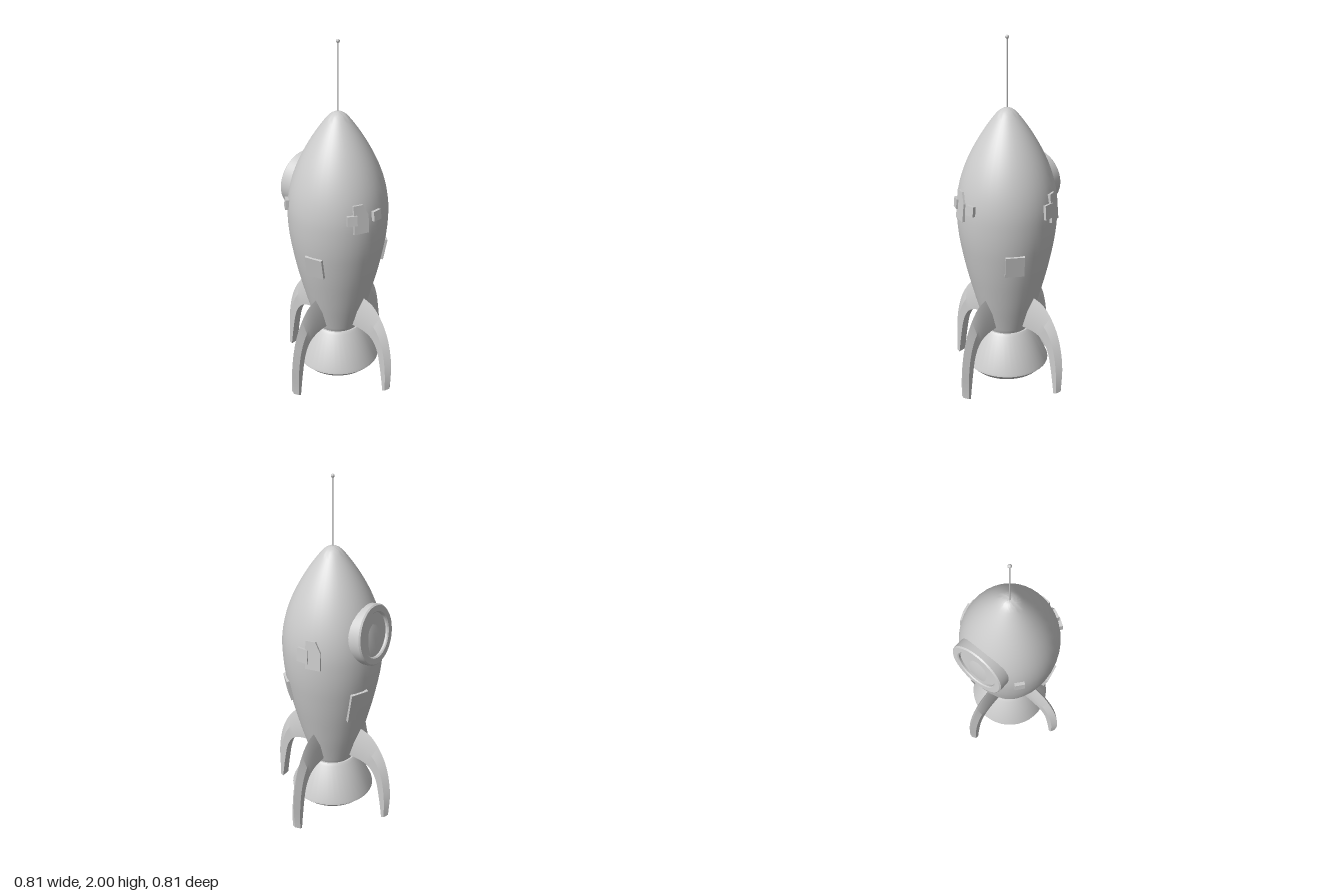
import * as THREE from 'three';
import { toCreasedNormals } from 'three/addons/utils/BufferGeometryUtils.js';

const grey = new THREE.MeshStandardMaterial({ color: 0xcccccc });
const V2 = (p) => new THREE.Vector2(p[0], p[1]);

function add(parent, name, geometry) {
  const mesh = new THREE.Mesh(geometry, grey);
  mesh.name = name;
  parent.add(mesh);
  return mesh;
}

// Hull profile: [radius, height] from tail to nose
const hullCurve = new THREE.SplineCurve([
  [0.13, 0.335], [0.153, 0.41], [0.18, 0.5], [0.207, 0.6], [0.232, 0.7], [0.253, 0.8],
  [0.27, 0.9], [0.279, 1.0], [0.279, 1.1], [0.264, 1.2], [0.233, 1.3], [0.187, 1.4],
  [0.127, 1.5], [0.06, 1.59], [0.025, 1.618], [0, 1.625],
].map(V2));
const hullPoints = hullCurve.getPoints(60);
hullPoints[60].x = 0;

function hullRadius(y) {
  const i = hullPoints.findIndex((p) => p.y >= y);
  const a = hullPoints[i - 1], b = hullPoints[i];
  return a.x + ((b.x - a.x) * (y - a.y)) / (b.y - a.y);
}

// Swept fin: five-sided cross-sections with a ridge along the outer edge
function finGeometry() {
  const outer = new THREE.SplineCurve([[0.13, 0.555], [0.2, 0.55], [0.275, 0.513], [0.345, 0.415],
    [0.385, 0.3], [0.403, 0.16], [0.395, 0.012]].map(V2));
  const inner = new THREE.SplineCurve([[0.09, 0.355], [0.15, 0.36], [0.225, 0.35], [0.28, 0.32],
    [0.32, 0.25], [0.345, 0.13], [0.364, 0]].map(V2));
  const n = 24, half = 0.027, pos = [], index = [];
  for (let s = 0; s <= n; s++) {
    const o = outer.getPoint(s / n), i = inner.getPoint(s / n);
    const a = o.clone().lerp(i, 0.45);
    pos.push(o.x, o.y, 0, a.x, a.y, half, i.x, i.y, half, i.x, i.y, -half, a.x, a.y, -half);
    if (s === n) break;
    for (let k = 0; k < 5; k++) {
      const p = s * 5 + k, q = s * 5 + ((k + 1) % 5);
      index.push(p, q, p + 5, q, q + 5, p + 5);
    }
  }
  const e = n * 5;
  index.push(e, e + 1, e + 2, e, e + 2, e + 3, e, e + 3, e + 4);
  const g = new THREE.BufferGeometry();
  g.setAttribute('position', new THREE.Float32BufferAttribute(pos, 3));
  g.setIndex(index);
  return toCreasedNormals(g, 0.45);
}

const rect = (w, h) => [[-w / 2, -h / 2], [w / 2, -h / 2], [w / 2, h / 2], [-w / 2, h / 2]];

// Flat plate laid on the hull at an angle around it (0 = front) and a height
function plate(parent, name, outline, angle, y, raise = 0.01) {
  const g = new THREE.ExtrudeGeometry(new THREE.Shape(outline.map(V2)), { depth: 0.03, bevelEnabled: false });
  g.translate(0, 0, raise - 0.03);
  const mesh = add(parent, name, g);
  const r = hullRadius(y);
  mesh.position.set(r * Math.sin(angle), y, r * Math.cos(angle));
  mesh.rotation.order = 'YXZ';
  mesh.rotation.set(Math.atan((hullRadius(y + 0.03) - hullRadius(y - 0.03)) / 0.06), angle, 0);
}

export function createModel() {
  const model = new THREE.Group();
  model.name = 'rocket';

  // Hull with closed, chamfered tail
  add(model, 'hull', toCreasedNormals(new THREE.LatheGeometry(
    [V2([0, 0.315]), V2([0.12, 0.315]), ...hullPoints], 40), 0.6));

  // Hollow engine bell
  add(model, 'engineBell', toCreasedNormals(new THREE.LatheGeometry([
    [0, 0.27], [0.1, 0.27], [0.185, 0.07], [0.208, 0.07], [0.243, 0.105], [0.24, 0.118],
    [0.147, 0.312], [0.135, 0.325], [0, 0.325],
  ].reverse().map(V2).reverse(), 40), 0.5));

  // Four fins
  const fin = finGeometry();
  for (let i = 0; i < 4; i++) add(model, 'fin', fin).rotation.y = (i * Math.PI) / 2;

  // Antenna with ball tip
  const rod = add(model, 'antennaRod', new THREE.CylinderGeometry(0.004, 0.004, 0.39, 10));
  rod.position.y = 1.795;
  add(model, 'antennaTip', new THREE.SphereGeometry(0.01, 14, 10)).position.y = 1.99;

  // Porthole on the right side, tilted slightly upward
  const porthole = new THREE.Group();
  porthole.name = 'porthole';
  add(porthole, 'portholeRim', toCreasedNormals(new THREE.LatheGeometry([
    [0.167, -0.13], [0.167, -0.008], [0.16, 0], [0.128, 0], [0.122, -0.006], [0.122, -0.05],
  ].map(V2), 48), 0.5));
  add(porthole, 'portholeGlass', new THREE.CylinderGeometry(0.124, 0.124, 0.06, 48)).position.y = -0.048;
  porthole.position.set(-0.28, 1.18, 0);
  porthole.rotation.z = Math.PI / 2 - 0.133;
  model.add(porthole);

  // Hull plates
  const cut = [[-0.043, -0.08], [0.043, -0.08], [0.043, 0.02], [0.012, 0.08], [-0.043, 0.08]];
  const ell = [[-0.054, -0.095], [0, -0.095], [0, 0], [0.054, 0], [0.054, 0.095], [-0.054, 0.095]];
  plate(model, 'frontPlate', rect(0.105, 0.125), 0.19, 0.81);
  plate(model, 'backPlate', rect(0.105, 0.125), 2.41, 0.81);
  plate(model, 'sidePlate', cut, 1.15, 1.115, 0.007);
  plate(model, 'rearPlate', cut, -2.93, 1.11, 0.007);
  plate(model, 'rearSmallPlate', rect(0.068, 0.08), Math.PI, 1.1, 0.012);
  plate(model, 'steppedPlate', ell, -1.98, 0.77);
  for (const angle of [-0.69, 0.965, 1.5]) plate(model, 'hatch', rect(0.055, 0.055), angle, 1.115, 0.017);

  return model;
}
